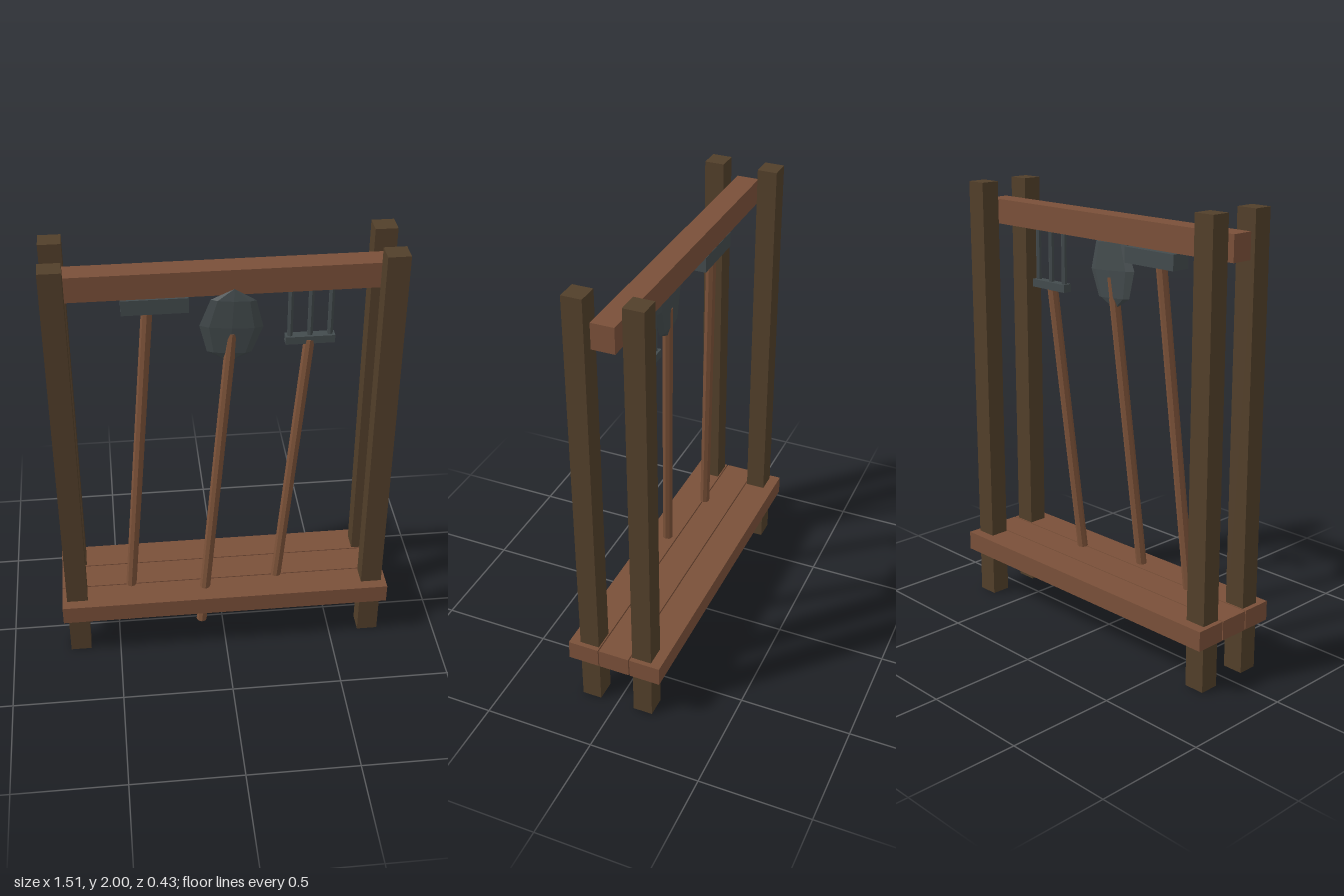
import * as THREE from 'three';

const material = (name, color) => {
  const m = new THREE.MeshStandardMaterial({ color, flatShading: true });
  m.name = name;
  return m;
};

export function createModel() {
  const darkWood = material('dark wood', 0x523f2a);
  const plankWood = material('plank wood', 0x7a5039);
  const handleWood = material('handle wood', 0x7c5239);
  const iron = material('iron', 0x434b4d);

  const rack = new THREE.Group();
  rack.name = 'toolRack';

  const add = (parent, name, geometry, mat, x, y, z) => {
    const mesh = new THREE.Mesh(geometry, mat);
    mesh.name = name;
    mesh.position.set(x, y, z);
    parent.add(mesh);
    return mesh;
  };
  const box = (parent, name, mat, w, h, d, x, y, z) =>
    add(parent, name, new THREE.BoxGeometry(w, h, d), mat, x, y, z);

  // Round shaft running from point a to point b
  const shaft = (parent, name, mat, a, b, radius, sides) => {
    const from = new THREE.Vector3(...a), to = new THREE.Vector3(...b);
    const dir = to.clone().sub(from);
    const mid = from.clone().add(to).multiplyScalar(0.5);
    const mesh = add(parent, name, new THREE.CylinderGeometry(radius, radius, dir.length(), sides),
      mat, mid.x, mid.y, mid.z);
    mesh.quaternion.setFromUnitVectors(new THREE.Vector3(0, 1, 0), dir.normalize());
    return mesh;
  };
  const tool = (name) => {
    const g = new THREE.Group();
    g.name = name;
    rack.add(g);
    return g;
  };

  // Frame: four posts, a hanging rail and three shelf planks
  for (const sx of [-1, 1])
    for (const sz of [-1, 1])
      box(rack, 'post', darkWood, 0.095, 2, 0.088, sx * 0.686, 1, sz * 0.124);
  box(rack, 'topRail', plankWood, 1.475, 0.112, 0.1, 0, 1.859, 0);
  for (const i of [-1, 0, 1])
    box(rack, 'shelfPlank', plankWood, 1.51, 0.088, 0.14, 0, 0.26, i * 0.145);

  // Block-headed tool
  const mallet = tool('mallet');
  shaft(mallet, 'malletHandle', handleWood, [-0.45, 0.105, 0.077], [-0.308, 1.74, 0], 0.024, 8);
  box(mallet, 'malletHead', iron, 0.278, 0.068, 0.09, -0.278, 1.761, 0);

  // Shovel with a flattened, faceted blade
  const shovel = tool('shovel');
  shaft(shovel, 'shovelHandle', handleWood, [-0.11, 0.105, 0.129], [0.036, 1.63, 0.054], 0.024, 8);
  const blade = add(shovel, 'shovelBlade', new THREE.SphereGeometry(1, 8, 4), iron, 0.034, 1.66, 0.054);
  blade.scale.set(0.133, 0.172, 0.022);
  blade.rotation.z = -0.07;

  // Fork with three tines
  const fork = tool('fork');
  shaft(fork, 'forkHandle', handleWood, [0.23, 0.105, 0.077], [0.37, 1.55, 0.003], 0.024, 8);
  box(fork, 'forkCrossbar', iron, 0.21, 0.035, 0.042, 0.372, 1.552, 0);
  for (const i of [-1, 0, 1])
    shaft(fork, 'forkTine', iron, [0.372 + i * 0.085, 1.56, 0], [0.372 + i * 0.085, 1.82, 0], 0.0125, 6);

  return rack;
}
